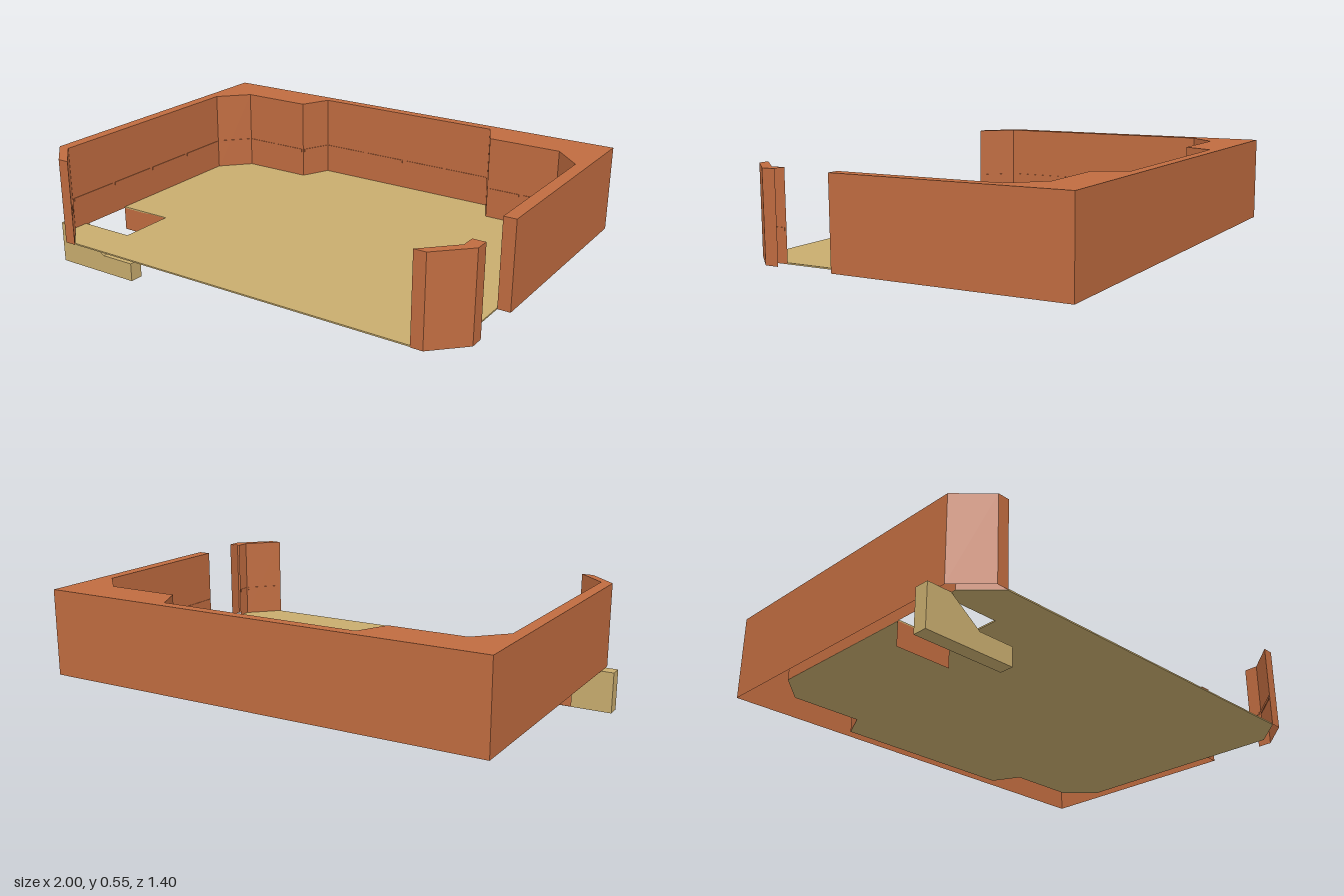
import * as THREE from 'three';

const BASE = 0.18, TOP = 0.545;

export function createModel() {
  const clay = new THREE.MeshStandardMaterial({ color: 0xc06c40, side: THREE.DoubleSide });
  clay.name = 'clay wall';
  const sand = new THREE.MeshStandardMaterial({ color: 0xc8ac6e });
  sand.name = 'sand floor';
  const model = new THREE.Group();
  model.name = 'walledRoom';

  const add = (name, geometry, material, parent = model) => {
    const mesh = new THREE.Mesh(geometry, material);
    mesh.name = name;
    parent.add(mesh);
    return mesh;
  };
  // Plan outlines are [x, z] points
  const planShape = pts => new THREE.Shape(pts.map(([x, z]) => new THREE.Vector2(x, -z)));

  // Hollow wall: upright panels round a plan outline and a flat cap, open underneath
  function hollowWall(name, outline, openEdge = -1) {
    const group = new THREE.Group();
    group.name = name;
    model.add(group);
    const pos = [];
    outline.forEach(([x1, z1], i) => {
      if (i === openEdge) return;
      const [x2, z2] = outline[(i + 1) % outline.length];
      const a = [x1, BASE, z1], b = [x2, BASE, z2], c = [x2, TOP, z2], d = [x1, TOP, z1];
      pos.push(...a, ...c, ...b, ...a, ...d, ...c);
    });
    const sides = new THREE.BufferGeometry();
    sides.setAttribute('position', new THREE.Float32BufferAttribute(pos, 3));
    sides.computeVertexNormals();
    add(name + 'Sides', sides, clay, group);
    const cap = new THREE.ShapeGeometry(planShape(outline)).rotateX(-Math.PI / 2).translate(0, TOP, 0);
    add(name + 'Cap', cap, clay, group);
  }

  // Inner face of the wall, from the front left corner round to the side doorway
  const inner = [
    [-0.77, 0.7], [-0.895, 0.575], [-0.895, -0.41], [-0.78, -0.53], [-0.465, -0.53], [-0.405, -0.655],
    [0.455, -0.655], [0.515, -0.53], [0.83, -0.53], [0.947, -0.41], [0.947, 0.27],
  ];
  const outer = [[1, 0.27], [1, -0.7], [-0.945, -0.7], [-0.945, 0.575], [-0.82, 0.7]];
  // Outlines run clockwise from above so the panels face outward
  hollowWall('mainWall', [...inner, ...outer]);

  // Short wall on the other side of the doorway, open at its doorway end
  const postInner = [[0.947, 0.515], [0.947, 0.575], [0.825, 0.7]];
  hollowWall('doorPost', [...postInner, [0.875, 0.7], [1, 0.575], [1, 0.515]], 5);

  // Thin rail of short pieces along the inner faces
  const rail = new THREE.Group();
  rail.name = 'wallRail';
  model.add(rail);
  function railRun(pts, counts) {
    counts.forEach((n, i) => {
      const [x1, z1] = pts[i], [x2, z2] = pts[i + 1];
      const length = Math.hypot(x2 - x1, z2 - z1);
      for (let k = 0; k < n; k++) {
        const t = (k + 0.5) / n;
        const piece = add('railPiece', new THREE.BoxGeometry(length / n - 0.016, 0.014, 0.006), clay, rail);
        piece.position.set(x1 + (x2 - x1) * t, 0.312, z1 + (z2 - z1) * t);
        piece.rotation.y = Math.atan2(z1 - z2, x2 - x1);
      }
    });
  }
  railRun(inner, [1, 4, 1, 2, 1, 4, 1, 2, 1, 3]);
  railRun(postInner, [1, 1]);

  // Floor slab with a square stairwell notch against the side wall
  const floorOutline = [
    [-0.77, 0.697], [-0.893, 0.575], [-0.893, 0.513], [-0.65, 0.513], [-0.65, 0.27], [-0.893, 0.27],
    ...inner.slice(2, 10), [0.947, 0.575], [0.83, 0.697],
  ];
  const floor = new THREE.ExtrudeGeometry(planShape(floorOutline), { depth: 0.006, bevelEnabled: false });
  add('floor', floor.rotateX(-Math.PI / 2).translate(0, BASE, 0), sand);

  // Upright panel below the back edge of the stairwell
  add('stairwellPanel', new THREE.PlaneGeometry(0.245, 0.105), clay).position.set(-0.7725, 0.1305, 0.27);

  // Stair side beam with a sloped shoulder
  const beamProfile = [[-1, 0], [-0.603, 0], [-0.603, 0.08], [-0.76, 0.08], [-0.895, 0.18], [-1, 0.18]];
  const beamShape = new THREE.Shape(beamProfile.map(([x, y]) => new THREE.Vector2(x, y)));
  const beam = new THREE.ExtrudeGeometry(beamShape, { depth: 0.06, bevelEnabled: false });
  add('stairBeam', beam.translate(0, 0, 0.493), sand);

  return model;
}
